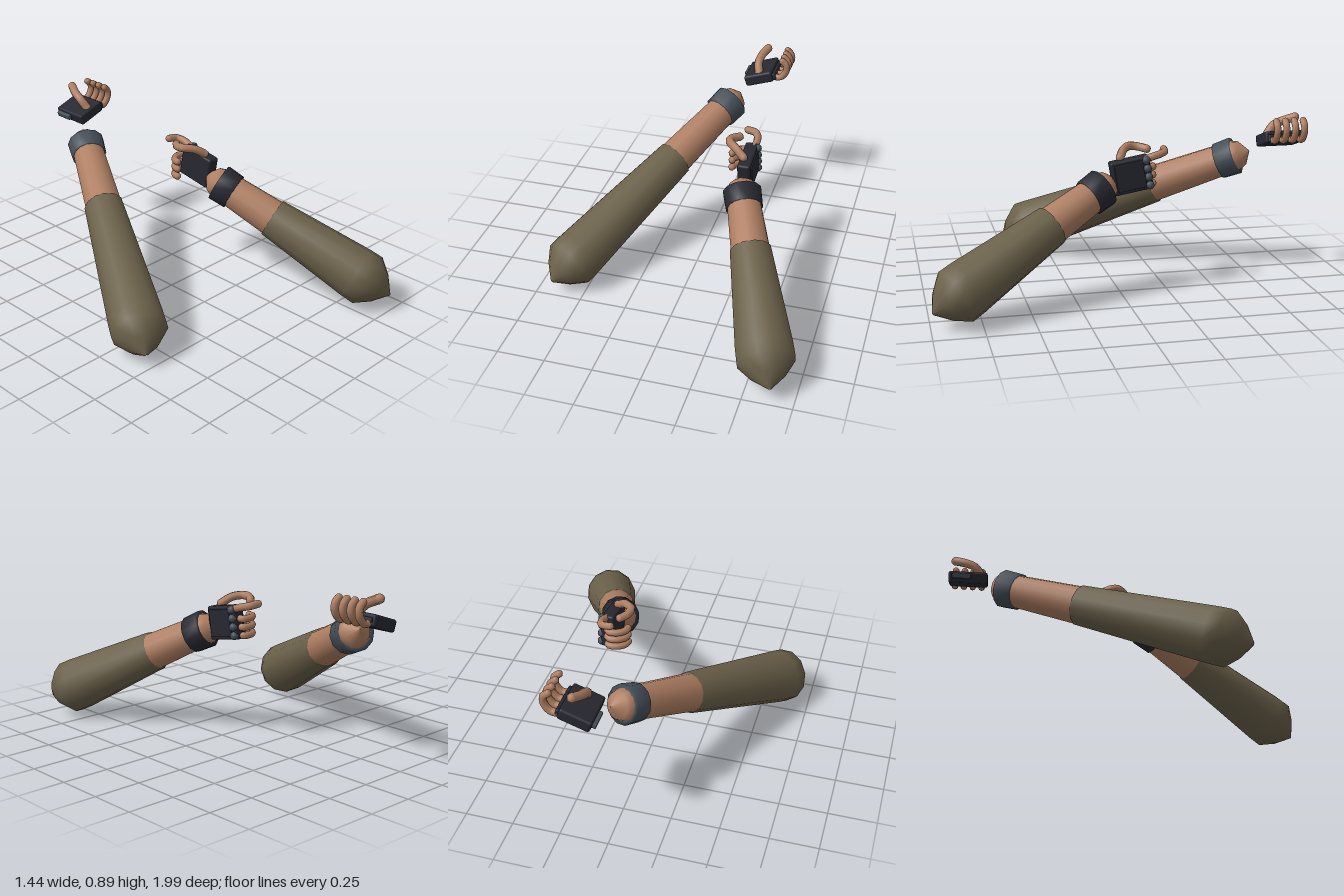
import * as THREE from 'three';
import { RoundedBoxGeometry } from 'three/addons/geometries/RoundedBoxGeometry.js';

const material = (name, color) => Object.assign(new THREE.MeshStandardMaterial({ color }), { name });
const V = (a) => new THREE.Vector3(...a);

export function createModel() {
  const sleeveMat = material('olive sleeve', 0x6b614a);
  const skinMat = material('skin', 0xae7e62);
  const gloveMat = material('dark glove', 0x272831);
  const greyMat = material('grey guard', 0x464f58);

  const add = (parent, name, geometry, mat, pos = [0, 0, 0]) => {
    const mesh = new THREE.Mesh(geometry, mat);
    mesh.name = name;
    mesh.position.set(...pos);
    parent.add(mesh);
    return mesh;
  };

  // Turned part from [radius, distance along the arm] pairs
  const lathe = (profile, sides = 12) =>
    new THREE.LatheGeometry(profile.map(([r, y]) => new THREE.Vector2(r, y)), sides);

  // Arm running along local +y from the elbow; hem is the sleeve length
  function arm(name, elbow, direction, hem, wrist, bandMat) {
    const g = new THREE.Group();
    g.name = name;
    g.position.set(...elbow);
    g.quaternion.setFromUnitVectors(new THREE.Vector3(0, 1, 0), V(direction).normalize());
    add(g, 'sleeve', lathe([[0.004, -0.14], [0.085, -0.075], [0.145, 0], [0.144, 0.07], [0.106, hem], [0.07, hem + 0.005]]), sleeveMat);
    const forearm = add(g, 'forearm', lathe([[0.1, hem - 0.06], [0.099, hem], [0.084, wrist + 0.045], [0.068, wrist + 0.085], [0.002, wrist + 0.13]], 14), skinMat);
    forearm.rotation.y = 0.15;
    add(g, 'wristBand', lathe([[0.08, wrist - 0.05], [0.098, wrist - 0.048], [0.102, wrist + 0.048], [0.08, wrist + 0.05]]), bandMat);
    return g;
  }

  // Bent finger with rounded ends
  function finger(parent, name, points, radius) {
    const pts = points.map(V);
    const g = new THREE.Group();
    g.name = name;
    parent.add(g);
    const curve = new THREE.CatmullRomCurve3(pts, false, 'centripetal');
    add(g, 'fingerBody', new THREE.TubeGeometry(curve, 14, radius, 8), skinMat);
    for (const p of [pts[0], pts[pts.length - 1]])
      add(g, 'fingerEnd', new THREE.SphereGeometry(radius, 8, 6), skinMat, p.toArray());
  }

  const model = new THREE.Group();
  model.name = 'arms';
  model.add(
    arm('rightArm', [-0.596, 0.133, 0.38], [0.452, 0.379, -0.807], 0.843, 1.285, greyMat),
    arm('leftArm', [0.589, 0.15, 0.875], [-0.34, 0.44, -0.83], 0.6, 0.895, gloveMat)
  );

  // Right hand: open, palm up, fingers curling upwards
  const rightHand = new THREE.Group();
  rightHand.name = 'rightHand';
  model.add(rightHand);
  const rightPalm = new THREE.Group();
  rightPalm.name = 'rightGlove';
  rightPalm.position.set(0.14, 0.75, -0.895);
  rightPalm.rotation.z = 0.33;
  rightHand.add(rightPalm);
  add(rightPalm, 'palm', new RoundedBoxGeometry(0.165, 0.062, 0.21, 2, 0.012), gloveMat);
  add(rightPalm, 'knuckleStrip', new RoundedBoxGeometry(0.03, 0.04, 0.19, 2, 0.008), gloveMat, [0.083, -0.008, 0]);
  add(rightPalm, 'wristGuard', new RoundedBoxGeometry(0.025, 0.03, 0.1, 2, 0.006), greyMat, [-0.09, 0.005, -0.035]);
  for (let i = 0; i < 4; i++) {
    const z = -0.825 - i * 0.049;
    finger(rightHand, 'finger', [[0.2, 0.765, z], [0.26, 0.765, z], [0.293, 0.81, z], [0.29, 0.845, z], [0.268, 0.866, z]], 0.019);
  }
  finger(rightHand, 'thumb', [[0.135, 0.775, -0.825], [0.122, 0.82, -0.865], [0.13, 0.845, -0.92], [0.153, 0.865, -0.972]], 0.024);

  // Left hand: upright palm, loose fist with thumb and forefinger forward
  const leftHand = new THREE.Group();
  leftHand.name = 'leftHand';
  model.add(leftHand);
  const leftPalm = new THREE.Group();
  leftPalm.name = 'leftGlove';
  leftPalm.position.set(0.262, 0.622, -0.055);
  leftPalm.rotation.x = 0.17;
  leftHand.add(leftPalm);
  add(leftPalm, 'palm', new RoundedBoxGeometry(0.068, 0.175, 0.205, 2, 0.012), gloveMat);
  add(leftPalm, 'backPlate', new RoundedBoxGeometry(0.012, 0.14, 0.15, 1, 0.005), gloveMat, [0.036, 0, 0.01]);
  for (let i = 0; i < 4; i++)
    add(leftPalm, 'knuckle', new THREE.SphereGeometry(0.022, 10, 8), greyMat, [0.033, 0.066 - i * 0.044, -0.083]);
  for (let i = 0; i < 3; i++) {
    const y = 0.655 - i * 0.043;
    finger(leftHand, 'finger', [[0.268, y, -0.13], [0.25, y, -0.172], [0.205, y, -0.172], [0.168, y, -0.145], [0.16, y, -0.115]], 0.019);
  }
  finger(leftHand, 'forefinger', [[0.275, 0.705, -0.13], [0.28, 0.72, -0.18], [0.262, 0.732, -0.228], [0.215, 0.738, -0.237]], 0.02);
  finger(leftHand, 'thumb', [[0.25, 0.71, 0], [0.2, 0.742, -0.03], [0.155, 0.75, -0.075], [0.158, 0.745, -0.115], [0.19, 0.738, -0.155]], 0.022);

  return model;
}
